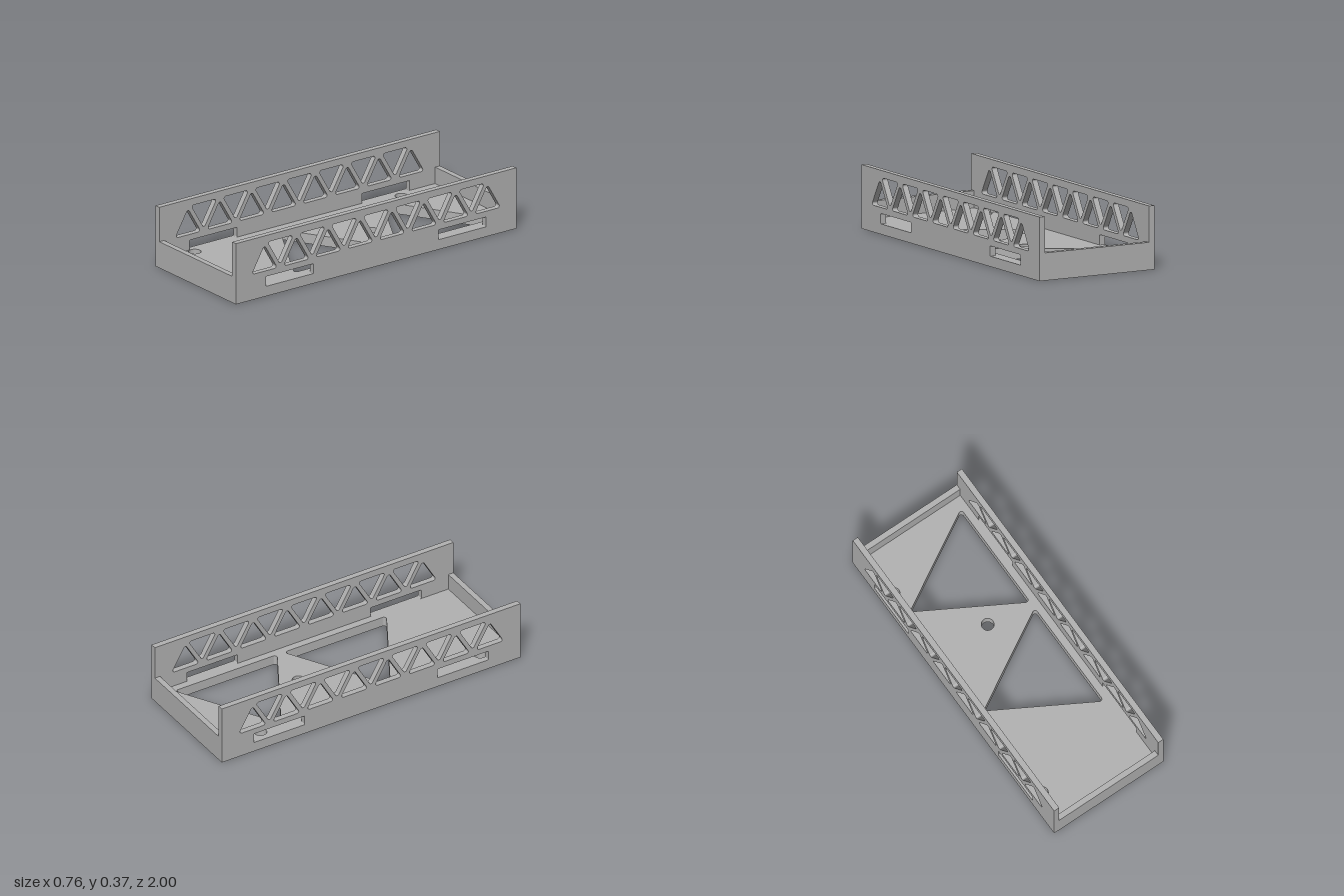
import * as THREE from 'three';

const HALF_W = 0.379, INNER_W = 0.344, HALF_L = 1, INNER_L = 0.966;
const FLOOR_H = 0.06, END_H = 0.16, SIDE_H = 0.37;

// Closed path with rounded corners, corners counter-clockwise
function roundedPath(corners, r, PathType = THREE.Path) {
  const path = new PathType();
  const n = corners.length;
  const pts = corners.map(([x, y]) => new THREE.Vector2(x, y));
  pts.forEach((p, i) => {
    const a = p.clone().sub(pts[(i + n - 1) % n]).normalize();
    const b = pts[(i + 1) % n].clone().sub(p).normalize();
    const inward = b.clone().sub(a).normalize();
    const half = Math.acos(THREE.MathUtils.clamp(-a.dot(b), -1, 1)) / 2;
    const c = p.clone().addScaledVector(inward, r / Math.sin(half));
    path.absarc(c.x, c.y, r, Math.atan2(-a.x, a.y), Math.atan2(-b.x, b.y), false);
  });
  path.closePath();
  return path;
}

function rectShape(w, y0, y1) {
  return new THREE.Shape([[-w, y0], [w, y0], [w, y1], [-w, y1]].map(([x, y]) => new THREE.Vector2(x, y)));
}

const extrude = (shape, depth) =>
  new THREE.ExtrudeGeometry(shape, { depth, bevelEnabled: false, curveSegments: 24 });

// Side wall with a truss of alternating triangles and two slots
function sideWallGeometry() {
  const shape = rectShape(HALF_L, 0, SIDE_H);
  const w = 0.092, h = 0.159, pitch = 0.1136;
  for (let i = -7; i <= 7; i++) {
    const u = i * pitch;
    const corners = i % 2 !== 0
      ? [[u - w, 0.155], [u + w, 0.155], [u, 0.155 + h]]
      : [[u + w, 0.328], [u - w, 0.328], [u, 0.328 - h]];
    shape.holes.push(roundedPath(corners, 0.012));
  }
  for (const s of [-1, 1]) {
    const a = s * 0.615 - 0.17, b = s * 0.615 + 0.17;
    shape.holes.push(roundedPath([[a, FLOOR_H], [b, FLOOR_H], [b, 0.12], [a, 0.12]], 0.005));
  }
  return extrude(shape, HALF_W - INNER_W).rotateY(Math.PI / 2);
}

// Floor with two large triangular openings and three round holes
function floorGeometry() {
  const shape = rectShape(INNER_W, -INNER_L, INNER_L);
  for (const z of [-0.552, 0.18]) {
    shape.holes.push(roundedPath([[0.3, -z - 0.344], [0.3, -z + 0.344], [-0.296, -z]], 0.015));
  }
  for (const [x, z] of [[-0.307, -0.697], [0.024, -0.236], [-0.307, 0.775]]) {
    const hole = new THREE.Path();
    hole.absarc(x, -z, 0.0365, 0, Math.PI * 2, false);
    shape.holes.push(hole);
  }
  return extrude(shape, FLOOR_H).rotateX(-Math.PI / 2);
}

export function createModel() {
  const model = new THREE.Group();
  model.name = 'trussTray';
  const grey = new THREE.MeshStandardMaterial({ color: 0xb2b2b2 });
  grey.name = 'grey';

  const add = (name, geometry, x, y, z) => {
    const mesh = new THREE.Mesh(geometry, grey);
    mesh.name = name;
    mesh.position.set(x, y, z);
    model.add(mesh);
  };

  add('floor', floorGeometry(), 0, 0, 0);

  const side = sideWallGeometry();
  add('leftWall', side, INNER_W, 0, 0);
  add('rightWall', side, -HALF_W, 0, 0);

  // Low end walls between the sides
  const end = new THREE.BoxGeometry(INNER_W * 2, END_H, HALF_L - INNER_L);
  const endZ = (HALF_L + INNER_L) / 2;
  add('frontWall', end, 0, END_H / 2, endZ);
  add('backWall', end, 0, END_H / 2, -endZ);

  return model;
}
